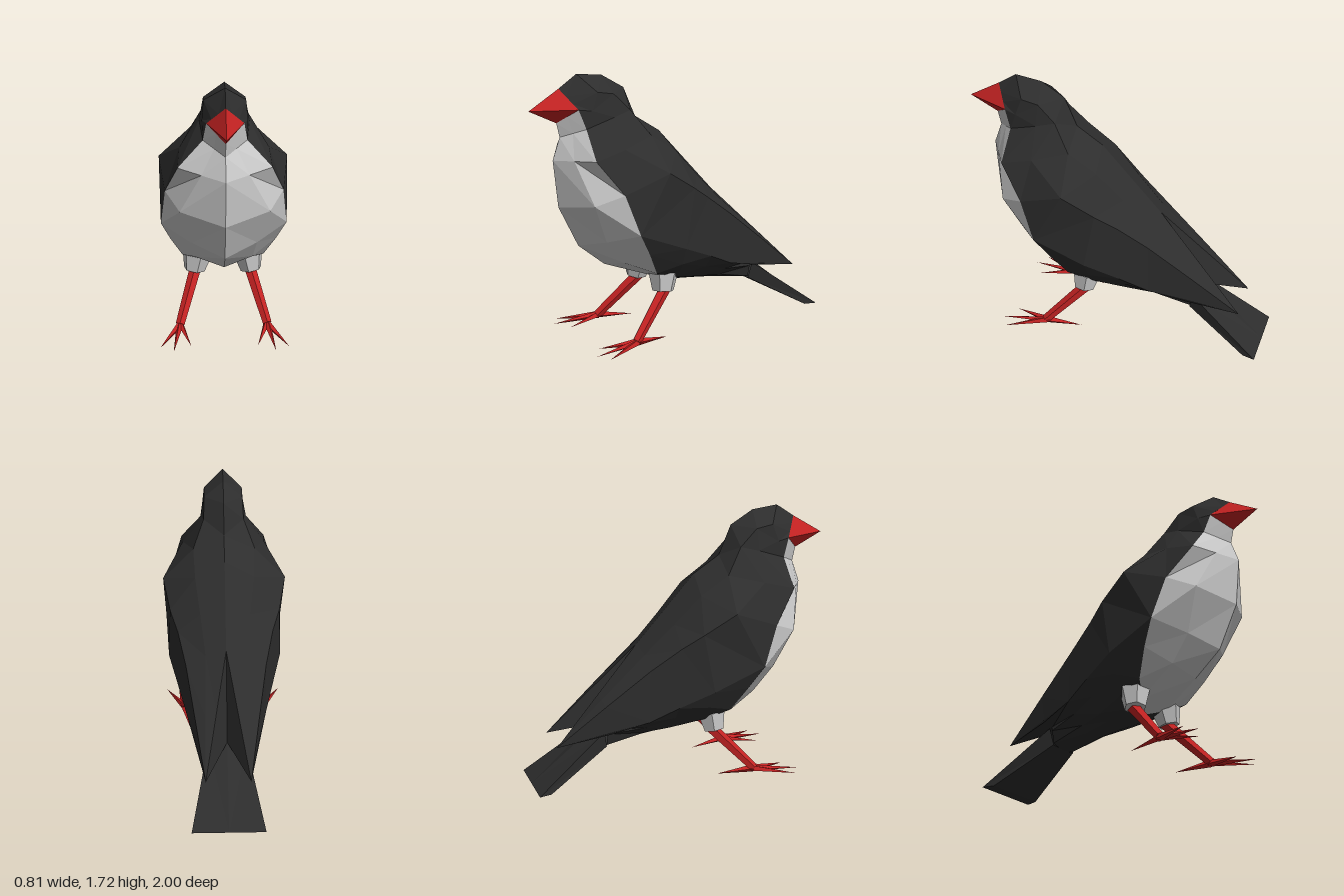
import * as THREE from 'three';

const mat = (color) => new THREE.MeshStandardMaterial({ color, flatShading: true, side: THREE.DoubleSide });
const dark = mat(0x2d2d2d), pale = mat(0xcccccc), red = mat(0xc42222);

// Skin rows of [x, y, z] points describing the left half, then mirror to the right half
function halfLoft(name, material, rows) {
  const pos = [];
  const tri = (a, b, c) => {
    const u = new THREE.Vector3(...b).sub(new THREE.Vector3(...a));
    const v = new THREE.Vector3(...c).sub(new THREE.Vector3(...a));
    if (u.cross(v).length() < 1e-7) return;
    pos.push(...a, ...b, ...c);
    for (const p of [a, c, b]) pos.push(-p[0], p[1], p[2]);
  };
  for (let i = 0; i < rows.length - 1; i++) {
    for (let j = 0; j < rows[i].length - 1; j++) {
      const a = rows[i][j], b = rows[i + 1][j], c = rows[i + 1][j + 1], d = rows[i][j + 1];
      tri(a, b, c);
      tri(a, c, d);
    }
  }
  const geo = new THREE.BufferGeometry();
  geo.setAttribute('position', new THREE.Float32BufferAttribute(pos, 3));
  geo.computeVertexNormals();
  const mesh = new THREE.Mesh(geo, material);
  mesh.name = name;
  return mesh;
}

// Tapered limb between two points
function limb(name, material, from, to, r0, r1, sides) {
  const a = new THREE.Vector3(...from), b = new THREE.Vector3(...to);
  const dir = b.clone().sub(a);
  const mesh = new THREE.Mesh(new THREE.CylinderGeometry(r1, r0, dir.length(), sides), material);
  mesh.position.copy(a).add(b).multiplyScalar(0.5);
  mesh.quaternion.setFromUnitVectors(new THREE.Vector3(0, 1, 0), dir.normalize());
  mesh.name = name;
  return mesh;
}

function createLeg(side) {
  const leg = new THREE.Group();
  leg.name = side > 0 ? 'leftLeg' : 'rightLeg';
  const at = (x, y, z) => [side * x, y, z];
  leg.add(limb('thigh', pale, at(0.165, 0.42, 0.17), at(0.185, 0.30, 0.185), 0.1, 0.07, 6));
  leg.add(limb('shin', red, at(0.17, 0.32, 0.155), at(0.28, 0.03, 0.43), 0.04, 0.03, 5));
  // Three front toes and one back toe
  const tips = [[0.405, 0.68], [0.32, 0.73], [0.21, 0.66], [0.24, 0.19]];
  for (const [x, z] of tips) {
    leg.add(limb('toe', red, at(0.28, 0.026, 0.42), at(x, 0.003, z), 0.024, 0, 4));
  }
  return leg;
}

export function createModel() {
  const bird = new THREE.Group();
  bird.name = 'bird';

  // Pale breast: centre line to the seam with the dark plumage
  bird.add(halfLoft('breast', pale, [
    [[0, 1.43, 0.82], [0.055, 1.475, 0.77], [0.11, 1.52, 0.72]],
    [[0, 1.34, 0.80], [0.065, 1.37, 0.74], [0.13, 1.40, 0.68]],
    [[0, 1.20, 0.85], [0.14, 1.215, 0.77], [0.28, 1.23, 0.69]],
    [[0, 0.90, 0.82], [0.27, 0.95, 0.70], [0.36, 1.02, 0.54]],
    [[0, 0.63, 0.69], [0.20, 0.69, 0.59], [0.39, 0.76, 0.45]],
    [[0, 0.48, 0.51], [0.18, 0.53, 0.46], [0.335, 0.61, 0.36]],
    [[0, 0.33, 0.12], [0.13, 0.38, 0.20], [0.26, 0.45, 0.27]],
  ]));

  // Head, back and folded wings: lower edge up to the spine, front to wing tip
  const tip = [0.14, 0.29, -0.86];
  bird.add(halfLoft('headBackAndWings', dark, [
    [[0.11, 1.52, 0.72], [0.08, 1.553, 0.742], [0.04, 1.596, 0.771], [0, 1.64, 0.80]],
    [[0.13, 1.40, 0.68], [0.135, 1.51, 0.64], [0.125, 1.62, 0.60], [0, 1.72, 0.68]],
    [[0.28, 1.23, 0.69], [0.15, 1.46, 0.50], [0.125, 1.60, 0.49], [0, 1.70, 0.51]],
    [[0.36, 1.02, 0.54], [0.27, 1.28, 0.49], [0.13, 1.49, 0.38], [0, 1.61, 0.36]],
    [[0.39, 0.76, 0.45], [0.40, 1.13, 0.25], [0.20, 1.33, 0.27], [0, 1.42, 0.28]],
    [[0.37, 0.62, 0.12], [0.355, 1.00, 0.05], [0.19, 1.21, 0.09], [0, 1.31, 0.11]],
    [[0.31, 0.52, -0.10], [0.305, 0.91, -0.08], [0.16, 1.03, -0.08], [0, 1.10, -0.08]],
    [[0.26, 0.43, -0.28], [0.255, 0.77, -0.27], [0.13, 0.84, -0.27], [0, 0.88, -0.28]],
    [[0.205, 0.36, -0.52], [0.2, 0.545, -0.55], [0.135, 0.575, -0.56], [0.068, 0.593, -0.562]],
    [tip, tip, tip, tip],
  ]));

  // Inner faces and undersides of the wing tips
  bird.add(halfLoft('wingUndersides', dark, [
    [[0, 0.40, -0.28], [0.26, 0.43, -0.28], [0.26, 0.43, -0.28]],
    [[0, 0.37, -0.55], tip, [0.205, 0.36, -0.52]],
  ]));
  bird.add(halfLoft('wingInnerFaces', dark, [
    [[0, 0.88, -0.28], [0.068, 0.593, -0.562]],
    [[0, 0.37, -0.55], tip],
  ]));

  // Dark underbody: belly line up to the lower wing edge
  bird.add(halfLoft('underbody', dark, [
    [[0, 0.33, 0.12], [0.13, 0.38, 0.20], [0.26, 0.45, 0.27], [0.335, 0.61, 0.36], [0.39, 0.76, 0.45]],
    [[0, 0.325, 0.06], [0.11, 0.34, 0.08], [0.22, 0.39, 0.10], [0.31, 0.50, 0.11], [0.37, 0.62, 0.12]],
    [[0, 0.30, -0.10], [0.08, 0.31, -0.10], [0.16, 0.34, -0.10], [0.24, 0.43, -0.10], [0.31, 0.52, -0.10]],
    [[0, 0.27, -0.28], [0.06, 0.28, -0.28], [0.12, 0.31, -0.28], [0.19, 0.37, -0.28], [0.26, 0.43, -0.28]],
    [[0, 0.23, -0.52], [0.05, 0.235, -0.52], [0.10, 0.25, -0.52], [0.12, 0.33, -0.52], [0.11, 0.36, -0.53]],
  ]));

  // Flared tail reaching down to the ground
  const end = [0, 0.01, -0.96];
  bird.add(halfLoft('tail', dark, [
    [[0, 0.23, -0.52], [0.10, 0.24, -0.52], [0.12, 0.35, -0.54], [0, 0.37, -0.55]],
    [[0, 0.01, -0.92], [0.21, 0.01, -0.92], [0.23, 0.01, -1.0], [0, 0.01, -1.0]],
    [end, end, end, end],
  ]));

  // Beak
  const point = [0, 1.52, 1.0];
  bird.add(halfLoft('beak', red, [
    [point, point, point],
    [[0, 1.43, 0.82], [0.11, 1.52, 0.72], [0, 1.64, 0.80]],
  ]));

  bird.add(createLeg(1), createLeg(-1));
  return bird;
}
